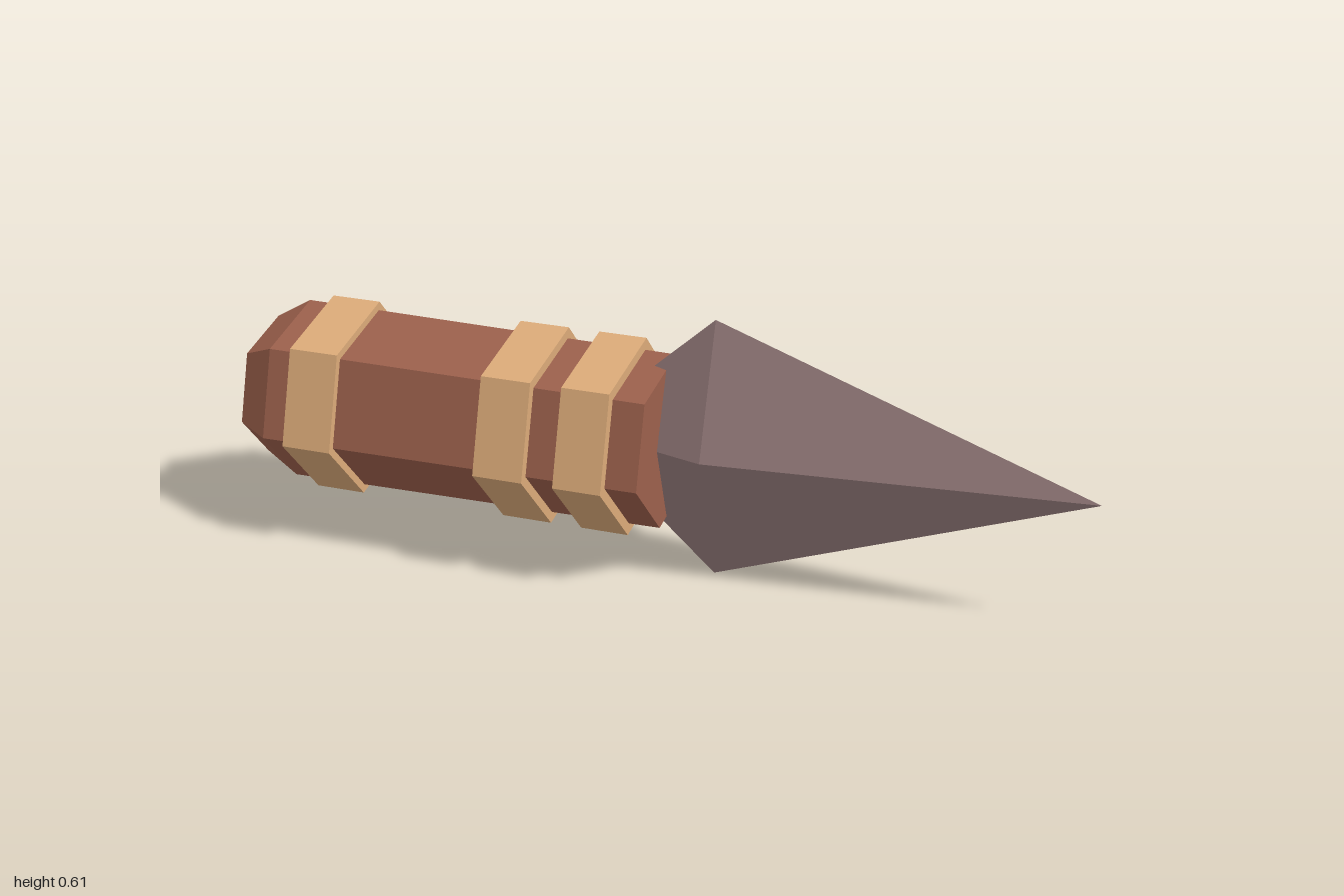
import * as THREE from 'three';

const CENTRE_Y = 0.308;

function material(name, color) {
  const m = new THREE.MeshStandardMaterial({ color, flatShading: true });
  m.name = name;
  return m;
}

// Faceted solid turned around the x axis; profile is [radius, x] from back to front
function turned(name, profile, sides, startDeg, mat) {
  const points = profile.map(([r, x]) => new THREE.Vector2(r, x));
  const geo = new THREE.LatheGeometry(points, sides, THREE.MathUtils.degToRad(startDeg));
  geo.rotateZ(-Math.PI / 2);
  const mesh = new THREE.Mesh(geo, mat);
  mesh.name = name;
  mesh.position.y = CENTRE_Y;
  return mesh;
}

export function createModel() {
  const group = new THREE.Group();
  group.name = 'dagger';
  const wood = material('reddish brown wood', 0x9c604c);
  const leather = material('tan leather', 0xdcab79);
  const stone = material('grey mauve stone', 0x947a7a);

  // Hexagonal handle with a chamfered butt
  group.add(turned('handle',
    [[0, -1], [0.161, -1], [0.208, -0.92], [0.198, 0.005], [0, 0.005]], 6, 15, wood));

  // Wrapped bands
  for (const [back, front] of [[-0.86, -0.74], [-0.38, -0.26], [-0.185, -0.07]]) {
    group.add(turned('band',
      [[0, back], [0.226, back], [0.226, front], [0, front]], 6, 15, leather));
  }

  // Flattened four-sided blade whose back end is sunk into the handle
  const blade = turned('blade', [[0, -0.23], [1, 0.118], [0, 1]], 4, 0, stone);
  blade.scale.set(1, 0.305, 0.1);
  group.add(blade);

  return group;
}
